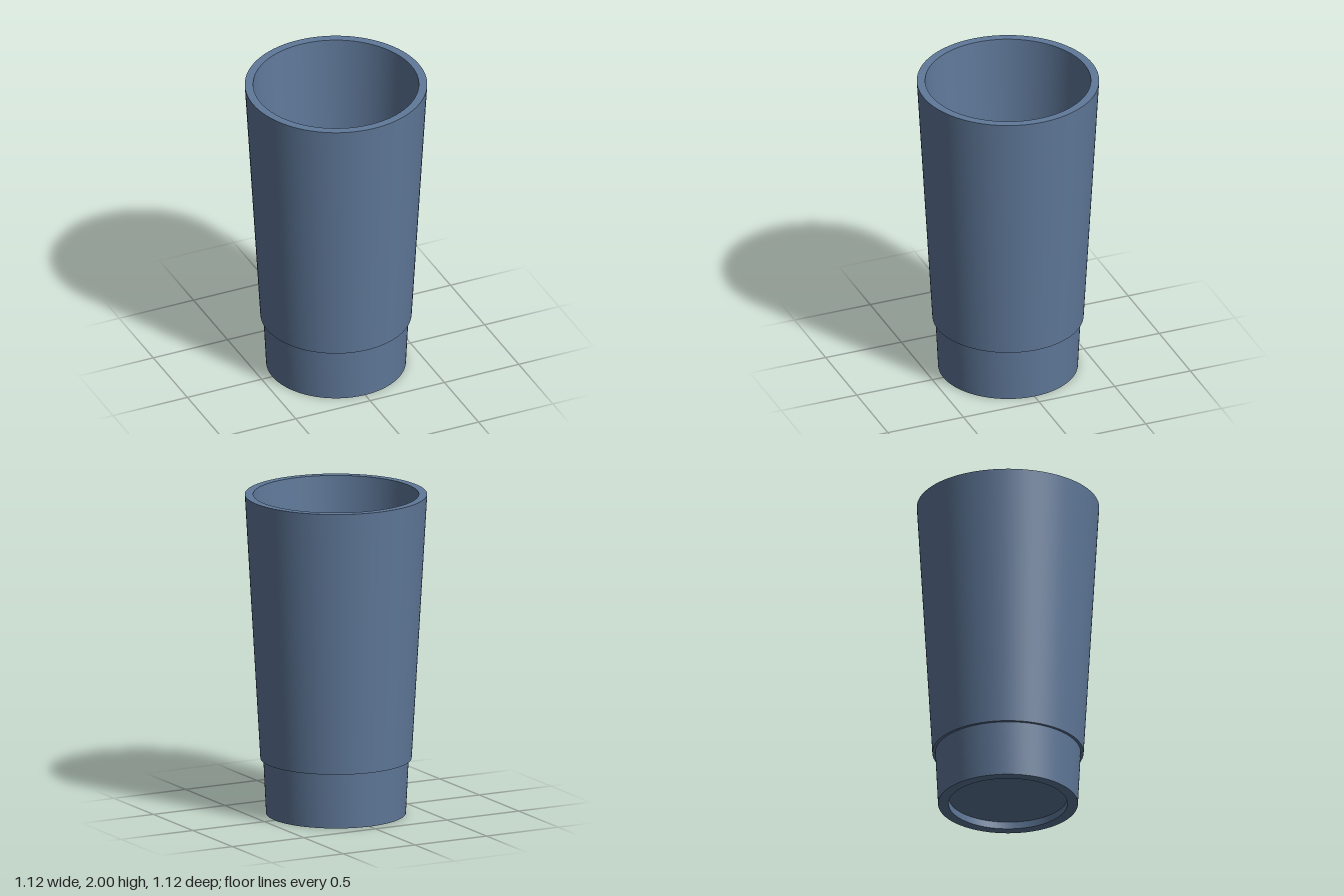
import * as THREE from 'three';
import { toCreasedNormals } from 'three/addons/utils/BufferGeometryUtils.js';

const SEGMENTS = 96;

export function createModel() {
  const group = new THREE.Group();
  group.name = 'cup';

  const blue = new THREE.MeshStandardMaterial({ color: 0x5f7899 });
  blue.name = 'slateBlue';

  // Revolves a [radius, height] profile, keeping its corners sharp
  function addTurned(name, profile) {
    const points = profile.map(([r, y]) => new THREE.Vector2(r, y));
    const geometry = toCreasedNormals(new THREE.LatheGeometry(points, SEGMENTS), 0.5);
    const mesh = new THREE.Mesh(geometry, blue);
    mesh.name = name;
    group.add(mesh);
  }

  // Narrow foot with a recessed underside
  addTurned('foot', [[0, 0.045], [0.364, 0.045], [0.364, 0], [0.428, 0], [0.445, 0.345]]);

  // Wider tapered wall, from the step up to the flat rim
  addTurned('outerWall', [[0.445, 0.345], [0.463, 0.345], [0.558, 2], [0.507, 2]]);

  // Hollow inside, from the rim down to the floor
  addTurned('interior', [[0.507, 2], [0.4, 0.09], [0, 0.09]]);

  return group;
}
